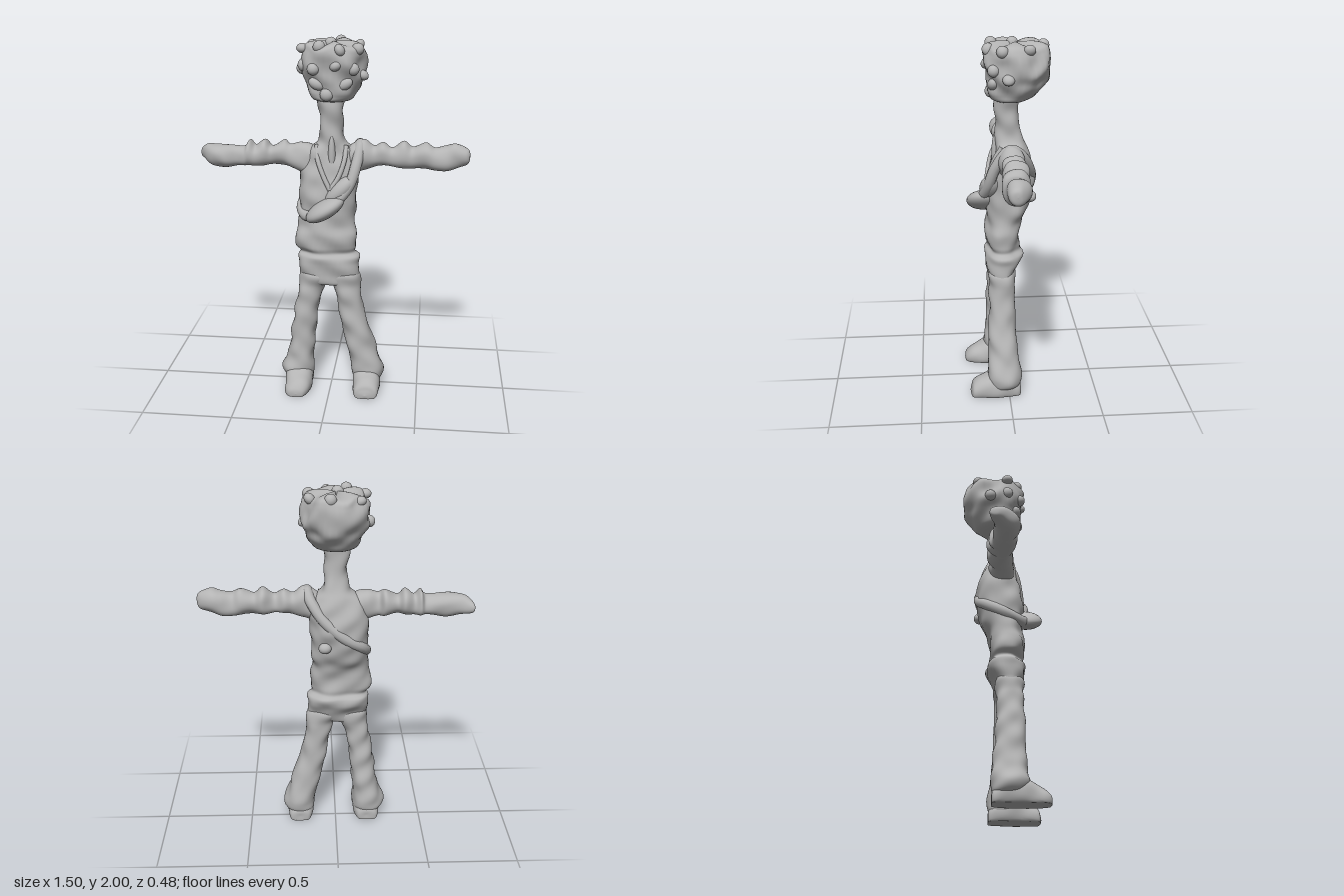
import * as THREE from 'three';

const clay = new THREE.MeshStandardMaterial({ color: 0xb4b4b4 });
clay.name = 'clay grey';

// Catmull-Rom blend of one column of the station table
function blend(p0, p1, p2, p3, t) {
  const v0 = (p2 - p0) / 2, v1 = (p3 - p1) / 2;
  return (2 * p1 - 2 * p2 + v0 + v1) * t ** 3 + (-3 * p1 + 3 * p2 - 2 * v0 - v1) * t * t + v0 * t + p1;
}

// hand-modelled lumpiness
const lump = (x, y, z) =>
  Math.sin(31 * x + 17 * y + 2) * Math.sin(27 * y - 19 * z) + 0.6 * Math.sin(47 * z + 23 * x + 1) * Math.sin(39 * y + 4);

// Lofts oval rings along an axis; a station is [position, uMin, uMax, vMin, vMax]
// axis y: u = x, v = z   axis x: u = z, v = y   axis z: u = y, v = x
function loft(name, axis, stations, amp = 0.006, power = 0.9, shape = null) {
  const seg = 40, steps = 8, pos = [], idx = [];
  const n = stations.length, at = (i) => stations[Math.min(n - 1, Math.max(0, i))];
  const rings = (n - 1) * steps + 1;
  for (let r = 0; r < rings; r++) {
    const i = Math.min(n - 2, Math.floor(r / steps)), t = r / steps - i;
    const s = at(i).map((_, k) => blend(at(i - 1)[k], at(i)[k], at(i + 1)[k], at(i + 2)[k], t));
    for (let j = 0; j < seg; j++) {
      const a = (j / seg) * Math.PI * 2, c = Math.cos(a), d = Math.sin(a);
      const ru = (s[2] - s[1]) / 2, rv = (s[4] - s[3]) / 2;
      const cu = (s[1] + s[2]) / 2, cv = (s[3] + s[4]) / 2;
      const cc = Math.sign(c) * Math.abs(c) ** power, dd = Math.sign(d) * Math.abs(d) ** power;
      const place = (u, v) => (axis === 'y' ? [u, s[0], v] : axis === 'x' ? [s[0], v, u] : [v, u, s[0]]);
      let p = place(cu + ru * cc, cv + rv * dd);
      const k = amp * lump(...p) * Math.min(1, Math.min(ru, rv) / 0.04);
      p = place(cu + (ru + k) * cc, cv + (rv + k) * dd);
      if (shape) shape(p, a);
      p[1] = Math.max(0, p[1]);
      pos.push(...p);
      if (r < rings - 1) {
        const m = r * seg + j, q = r * seg + ((j + 1) % seg);
        idx.push(m, m + seg, q, q, m + seg, q + seg);
      }
    }
  }
  const g = new THREE.BufferGeometry();
  g.setAttribute('position', new THREE.Float32BufferAttribute(pos, 3));
  g.setIndex(idx);
  g.computeVertexNormals();
  const mesh = new THREE.Mesh(g, clay);
  mesh.name = name;
  return mesh;
}

function blob(name, [x, y, z], [rx, ry, rz], tilt = 0) {
  const mesh = new THREE.Mesh(new THREE.SphereGeometry(1, 24, 16), clay);
  mesh.position.set(x, y, z);
  mesh.scale.set(rx, ry, rz);
  mesh.rotation.z = tilt;
  mesh.name = name;
  return mesh;
}

function roll(name, points, radius, closed = false) {
  const path = new THREE.CatmullRomCurve3(points.map((p) => new THREE.Vector3(...p)), closed);
  const mesh = new THREE.Mesh(new THREE.TubeGeometry(path, 60, radius, 12, closed), clay);
  mesh.name = name;
  return mesh;
}

export function createModel() {
  const model = new THREE.Group();
  model.name = 'clayFigure';

  // Torso with waist folds, shoulders and long neck
  model.add(loft('torso', 'y', [
    [0.63, -0.05, 0.03, 0.0, 0.06], [0.645, -0.17, 0.145, -0.03, 0.1], [0.7, -0.182, 0.158, -0.05, 0.11],
    [0.76, -0.186, 0.152, -0.085, 0.12], [0.8, -0.188, 0.155, -0.09, 0.12], [0.825, -0.172, 0.13, -0.068, 0.1],
    [0.86, -0.2, 0.14, -0.07, 0.112], [0.93, -0.196, 0.143, -0.07, 0.12], [0.99, -0.182, 0.13, -0.085, 0.108],
    [1.06, -0.18, 0.132, -0.118, 0.11], [1.15, -0.182, 0.132, -0.142, 0.118], [1.24, -0.182, 0.14, -0.152, 0.105],
    [1.33, -0.17, 0.15, -0.135, 0.083], [1.4, -0.135, 0.125, -0.112, 0.068], [1.45, -0.08, 0.075, -0.095, 0.06],
    [1.52, -0.066, 0.057, -0.075, 0.058], [1.6, -0.07, 0.058, -0.065, 0.06], [1.68, -0.078, 0.066, -0.068, 0.066],
    [1.72, -0.06, 0.06, -0.06, 0.06], [1.73, 0, 0, 0, 0],
  ], 0.006, 0.85));

  // Head with a wavy mop spreading above the face
  model.add(loft('head', 'y', [
    [1.665, 0, 0, -0.02, -0.02], [1.675, -0.09, 0.09, -0.11, 0.075], [1.71, -0.125, 0.128, -0.165, 0.098],
    [1.77, -0.15, 0.155, -0.205, 0.1], [1.82, -0.175, 0.178, -0.228, 0.108], [1.88, -0.175, 0.17, -0.235, 0.122],
    [1.93, -0.168, 0.165, -0.23, 0.125], [1.965, -0.145, 0.145, -0.21, 0.105], [1.978, -0.09, 0.09, -0.15, 0.05],
    [1.972, 0, 0, -0.05, -0.05],
  ], 0.009, 0.92, (p, a) => {
    const hair = THREE.MathUtils.smoothstep(p[1], 1.79, 1.9);
    const k = 1 + 0.035 * hair * Math.sin(7 * a + 14 * p[1]);
    p[0] *= k;
    p[2] = -0.05 + (p[2] + 0.05) * k;
    p[1] += 0.01 * hair * Math.sin(5 * a + 1);
  }));

  // Hair tufts, around the rim and over the brow
  const tufts = [
    [-0.155, 1.95, 0.02], [-0.06, 1.965, 0.08], [0.05, 1.95, 0.1], [0.14, 1.95, 0.03], [0.135, 1.955, -0.11],
    [0.03, 1.965, -0.19], [-0.12, 1.95, -0.15], [-0.01, 1.972, -0.03], [-0.155, 1.86, 0.02], [-0.09, 1.85, 0.095],
    [0.03, 1.87, 0.105], [0.12, 1.85, 0.075], [0.165, 1.81, 0.0], [-0.17, 1.83, -0.08],
  ];
  tufts.forEach((p, i) => model.add(blob('hairTuft', p, [0.033, 0.026 + 0.006 * (i % 2), 0.032], i)));

  // Face lumps
  model.add(blob('nose', [-0.02, 1.715, 0.085], [0.036, 0.035, 0.03]));
  for (const s of [-1, 1]) model.add(blob('cheek', [s * 0.075, 1.77, 0.075], [0.045, 0.03, 0.03], s * 0.5));

  // Arms with sleeve creases
  model.add(loft('rightArm', 'x', [
    [-0.75, -0.085, -0.085, 1.35, 1.35], [-0.742, -0.105, -0.05, 1.325, 1.375], [-0.7, -0.1, 0.012, 1.302, 1.408],
    [-0.65, -0.082, 0.045, 1.292, 1.412], [-0.59, -0.078, 0.058, 1.285, 1.408], [-0.53, -0.08, 0.04, 1.29, 1.405],
    [-0.485, -0.082, 0.048, 1.295, 1.408], [-0.46, -0.105, 0.05, 1.297, 1.44], [-0.425, -0.085, 0.045, 1.3, 1.41],
    [-0.375, -0.105, 0.045, 1.3, 1.438], [-0.335, -0.08, 0.035, 1.305, 1.41], [-0.27, -0.105, 0.035, 1.3, 1.442],
    [-0.23, -0.07, 0.04, 1.295, 1.42], [-0.17, -0.08, 0.055, 1.27, 1.43], [-0.1, -0.08, 0.05, 1.24, 1.42],
    [-0.05, 0, 0, 1.33, 1.33],
  ], 0.005));
  model.add(loft('leftArm', 'x', [
    [0.05, 0, 0, 1.34, 1.34], [0.1, -0.08, 0.05, 1.26, 1.43], [0.17, -0.085, 0.05, 1.29, 1.455],
    [0.23, -0.075, 0.04, 1.308, 1.42], [0.28, -0.085, 0.045, 1.31, 1.445], [0.33, -0.065, 0.04, 1.312, 1.42],
    [0.39, -0.092, 0.05, 1.308, 1.45], [0.44, -0.07, 0.048, 1.308, 1.42], [0.51, -0.082, 0.055, 1.303, 1.45],
    [0.56, -0.07, 0.06, 1.298, 1.425], [0.62, -0.076, 0.06, 1.298, 1.43], [0.67, -0.07, 0.052, 1.31, 1.448],
    [0.72, -0.048, 0.04, 1.33, 1.435], [0.744, -0.025, 0.025, 1.35, 1.415], [0.75, 0, 0, 1.385, 1.385],
  ], 0.005));

  // Flared legs and feet
  model.add(loft('rightLeg', 'y', [
    [0.03, -0.18, -0.18, 0.02, 0.02], [0.05, -0.255, -0.11, -0.055, 0.1], [0.11, -0.284, -0.102, -0.066, 0.128],
    [0.2, -0.248, -0.1, -0.06, 0.12], [0.3, -0.232, -0.09, -0.05, 0.112], [0.42, -0.218, -0.08, -0.042, 0.11],
    [0.53, -0.2, -0.066, -0.038, 0.105], [0.62, -0.185, -0.035, -0.04, 0.1], [0.7, -0.175, 0.0, -0.045, 0.105],
    [0.76, -0.08, -0.08, 0.02, 0.02],
  ]));
  model.add(loft('leftLeg', 'y', [
    [0.03, 0.21, 0.21, 0.02, 0.02], [0.05, 0.14, 0.285, -0.055, 0.1], [0.11, 0.125, 0.303, -0.068, 0.125],
    [0.2, 0.102, 0.276, -0.06, 0.115], [0.3, 0.078, 0.24, -0.05, 0.112], [0.42, 0.056, 0.202, -0.042, 0.11],
    [0.53, 0.036, 0.18, -0.038, 0.105], [0.62, 0.01, 0.165, -0.04, 0.1], [0.7, -0.03, 0.155, -0.045, 0.105],
    [0.76, 0.07, 0.07, 0.02, 0.02],
  ]));
  for (const [name, x, tip] of [['rightFoot', -0.182, 0.24], ['leftFoot', 0.21, 0.222]]) {
    model.add(loft(name, 'z', [
      [-0.065, 0.03, 0.03, x, x], [-0.06, -0.02, 0.07, x - 0.055, x + 0.055], [0, -0.03, 0.12, x - 0.075, x + 0.075],
      [0.09, -0.03, 0.135, x - 0.078, x + 0.078], [0.15, -0.03, 0.11, x - 0.074, x + 0.074],
      [0.2, -0.025, 0.08, x - 0.066, x + 0.066], [tip - 0.008, -0.01, 0.05, x - 0.042, x + 0.042],
      [tip, 0.02, 0.02, x, x],
    ], 0.004));
  }

  // Sash over the left shoulder, round to the right hip
  model.add(roll('sash', [
    [0.155, 1.435, -0.01], [0.14, 1.34, 0.065], [0.1, 1.22, 0.105], [0.0, 1.11, 0.135], [-0.12, 1.045, 0.1],
    [-0.168, 1.07, 0.01], [-0.14, 1.13, -0.09], [-0.04, 1.2, -0.132], [0.07, 1.3, -0.12], [0.14, 1.4, -0.07],
  ], 0.03, true));
  model.add(blob('sashFold', [-0.025, 1.095, 0.125], [0.12, 0.05, 0.096], 0.55));
  model.add(blob('sashDrape', [0.05, 1.19, 0.09], [0.11, 0.05, 0.062], 0.8));
  model.add(blob('sashKnot', [0.06, 1.14, -0.13], [0.035, 0.03, 0.03]));

  // Collar edges meeting in a V, and the hanging strip between them
  model.add(roll('rightLapel', [[-0.08, 1.43, 0.03], [-0.07, 1.36, 0.075], [-0.035, 1.27, 0.1], [0, 1.2, 0.112]], 0.013));
  model.add(roll('leftLapel', [[0.08, 1.43, 0.03], [0.075, 1.36, 0.07], [0.045, 1.27, 0.098], [0, 1.2, 0.112]], 0.013));
  model.add(blob('chestStrip', [0.005, 1.37, 0.06], [0.02, 0.12, 0.022]));
  return model;
}
